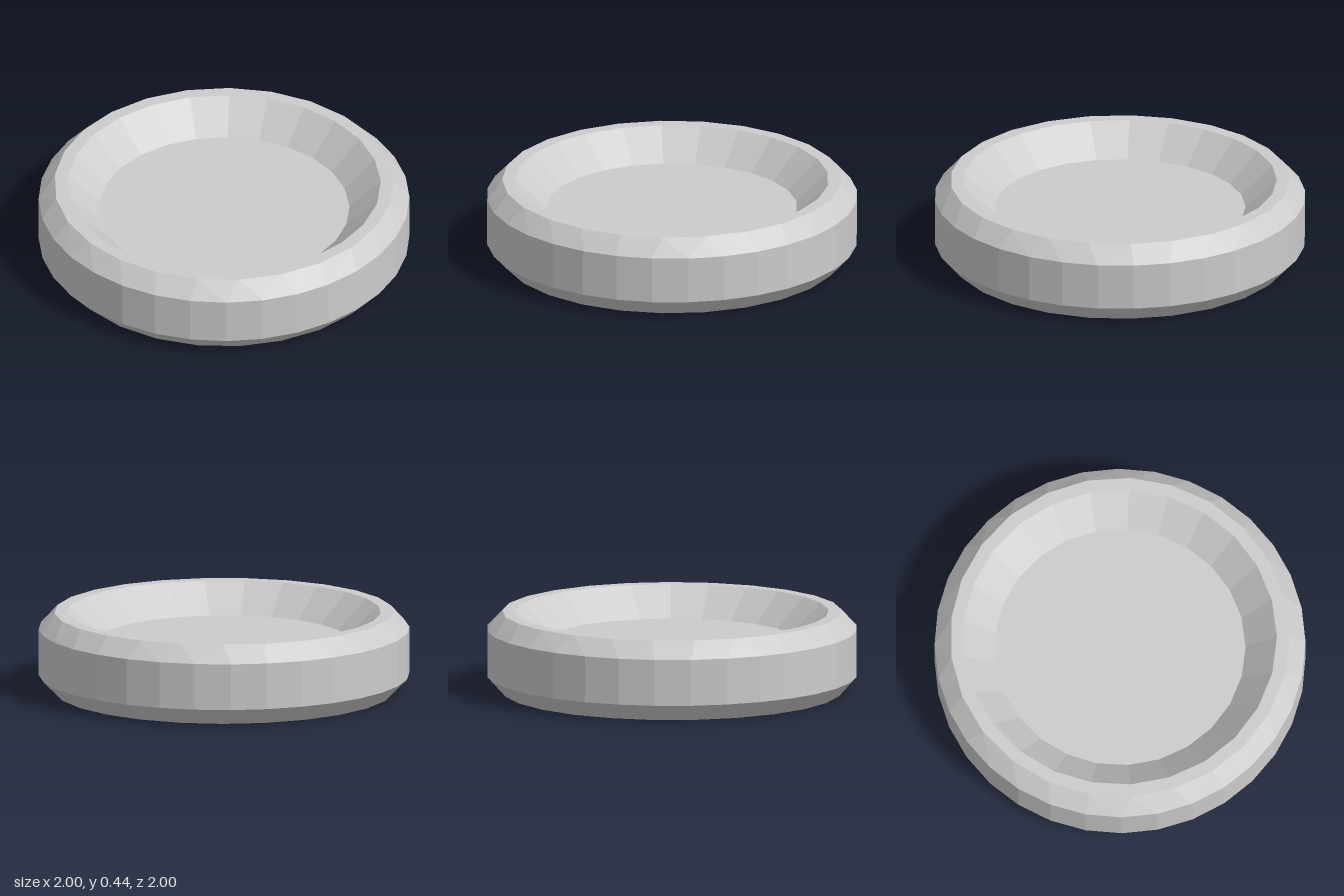
import * as THREE from 'three';

const SIDES = 25, WALL_SIDES = 32;
const material = new THREE.MeshStandardMaterial({ color: 0xcccccc, flatShading: true });

// Rings: the wall has more sides than the rims and recesses
const rim = (radius, y) => ({ radius, y, sides: SIDES, phase: 0 });
const wall = (y) => ({ radius: 1 / Math.cos(Math.PI / WALL_SIDES), y, sides: WALL_SIDES, phase: Math.PI / WALL_SIDES });

const angle = (ring, i) => ring.phase + (i / ring.sides) * Math.PI * 2;
function point(ring, i) {
  const t = angle(ring, i % ring.sides);
  return [ring.radius * Math.sin(t), ring.y, -ring.radius * Math.cos(t)];
}

// Joins two rings with triangles, even when their side counts differ
function band(a, b) {
  const positions = [];
  let i = 0, j = 0;
  while (i < a.sides || j < b.sides) {
    const stepA = j === b.sides || (i < a.sides && angle(a, i + 1) <= angle(b, j + 1));
    if (stepA) {
      positions.push(...point(a, i + 1), ...point(a, i), ...point(b, j));
      i++;
    } else {
      positions.push(...point(a, i), ...point(b, j), ...point(b, j + 1));
      j++;
    }
  }
  const geometry = new THREE.BufferGeometry();
  geometry.setAttribute('position', new THREE.Float32BufferAttribute(positions, 3));
  geometry.computeVertexNormals();
  return geometry;
}

// Flat floor of a recess, facing up (1) or down (-1)
function floor(radius, y, facing) {
  return new THREE.CircleGeometry(radius, SIDES, facing * Math.PI / 2)
    .rotateX(-facing * Math.PI / 2)
    .translate(0, y, 0);
}

export function createModel() {
  const group = new THREE.Group();
  group.name = 'dishedDisc';
  const add = (name, geometry) => {
    const mesh = new THREE.Mesh(geometry, material);
    mesh.name = name;
    group.add(mesh);
  };

  // Profile from the lower recess, around the wall, to the upper recess
  const rings = [
    rim(0.68, 0.16), rim(0.85, 0), rim(0.92, 0),
    wall(0.093), wall(0.345),
    rim(0.92, 0.437), rim(0.85, 0.437), rim(0.68, 0.278),
  ];
  const names = ['lowerRecess', 'lowerRim', 'lowerBevel', 'outerWall', 'upperBevel', 'upperRim', 'upperRecess'];
  names.forEach((name, k) => add(name, band(rings[k], rings[k + 1])));

  add('lowerFloor', floor(0.68, 0.16, -1));
  add('upperFloor', floor(0.68, 0.278, 1));
  return group;
}
